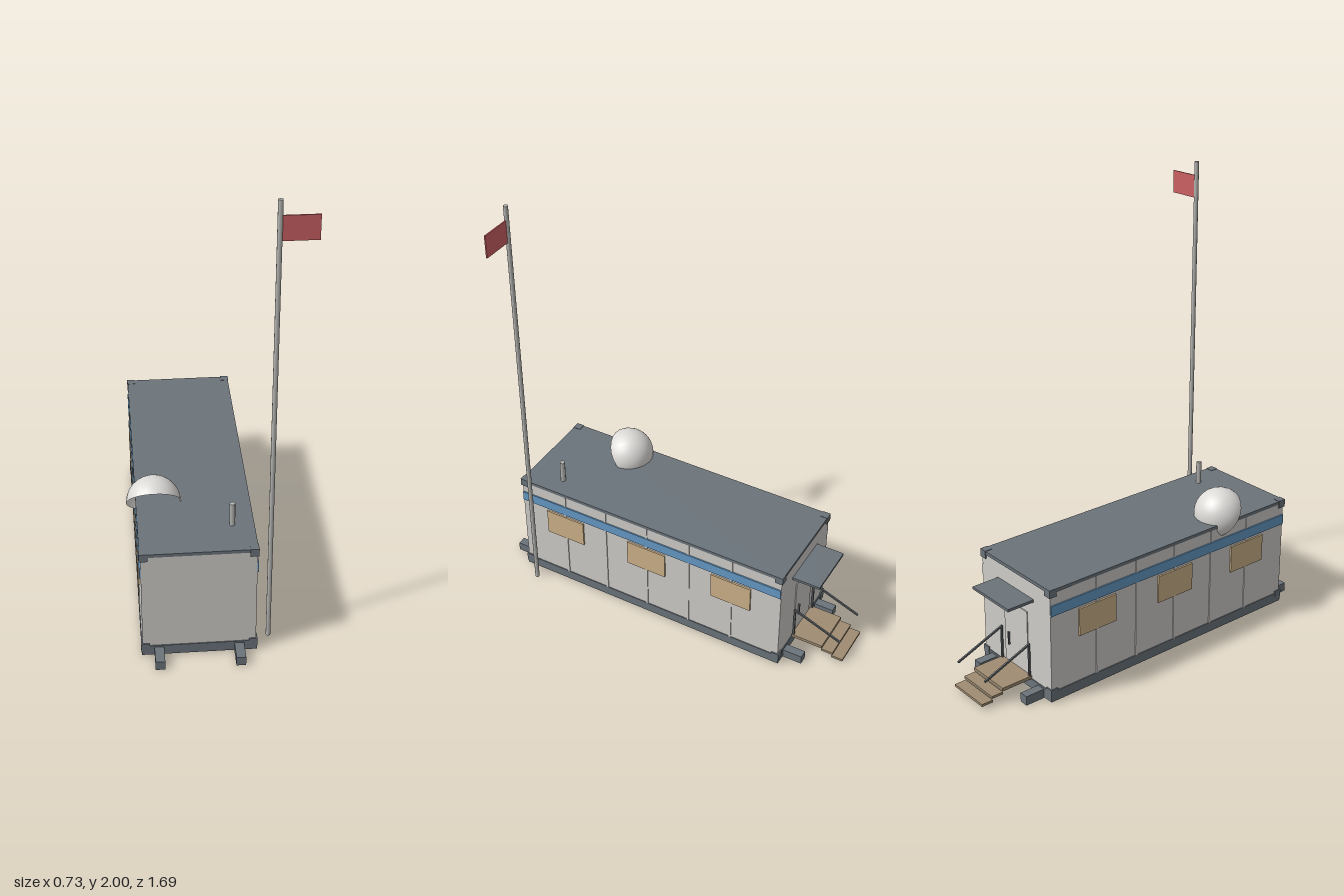
import * as THREE from 'three';

const paint = (name, color) => Object.assign(new THREE.MeshStandardMaterial({ color }), { name });

export function createModel() {
  const model = new THREE.Group();
  model.name = 'siteCabin';

  const wall = paint('wallGrey', 0xcfcdc9);
  const steel = paint('frameSteel', 0x6b747b);
  const blue = paint('stripeBlue', 0x659ac6);
  const tan = paint('windowTan', 0xcdb28a);
  const wood = paint('stepWood', 0x9f8c72);
  const red = paint('flagRed', 0xcb5f63);
  const rail = paint('railGrey', 0x5c6064);
  const pale = paint('poleGrey', 0xb4b4b2);
  const white = paint('dishWhite', 0xdddbd8);
  white.side = THREE.DoubleSide;

  const add = (name, geometry, material, x, y, z) => {
    const mesh = new THREE.Mesh(geometry, material);
    mesh.name = name;
    mesh.position.set(x, y, z);
    model.add(mesh);
    return mesh;
  };
  // Box given by its limits on each axis
  const box = (name, material, [x0, x1], [y0, y1], [z0, z1]) =>
    add(name, new THREE.BoxGeometry(x1 - x0, y1 - y0, z1 - z0), material,
      (x0 + x1) / 2, (y0 + y1) / 2, (z0 + z1) / 2);

  const X0 = -0.325, X1 = 0.155, Z0 = -0.595, Z1 = 0.75;
  const cx = (X0 + X1) / 2, half = (X1 - X0) / 2;

  // Cabin shell
  box('walls', wall, [X0 + 0.004, X1 - 0.004], [0.045, 0.512], [Z0 + 0.004, Z1 - 0.004]);
  box('baseFrame', steel, [X0, X1], [0.004, 0.05], [Z0, Z1]);
  box('roof', steel, [X0, X1], [0.51, 0.525], [Z0, Z1]);

  // Corner blocks
  const c = 0.036, e = 0.002;
  for (const x of [X0 - e, X1 + e - c])
    for (const z of [Z0 - e, Z1 + e - c])
      for (const y of [0.025, 0.491])
        box('cornerBlock', steel, [x, x + c], [y, y + c], [z, z + c]);

  // Skids under the floor
  for (const x of [-0.252, 0.081])
    box('skid', steel, [x - 0.02, x + 0.02], [0, 0.042], [-0.685, 0.84]);

  // Long sides: stripe, wall ribs and windows
  for (const s of [-1, 1]) {
    const face = cx + s * (half - 0.004);
    const plate = (name, mat, depth, y, z) =>
      box(name, mat, s > 0 ? [face, face + depth] : [face - depth, face], y, z);
    plate('stripe', blue, 0.006, [0.405, 0.452], [Z0 + 0.005, Z1 - 0.005]);
    for (let i = 0; i < 5; i++) {
      const z = 0.515 - i * 0.216;
      plate('wallRib', wall, 0.004, [0.05, 0.51], [z - 0.006, z + 0.006]);
      if (i % 2 === 0)
        plate('window', tan, 0.008, [0.265, 0.392], [z - 0.098, z + 0.098]);
    }
  }

  // Rear door with its handle and canopy
  box('door', wall, [-0.165, -0.005], [0.05, 0.36], [Z0, Z0 + 0.005]);
  box('doorHandle', rail, [-0.04, -0.034], [0.15, 0.21], [Z0 - 0.008, Z0]);
  box('canopy', steel, [-0.21, 0.04], [0.424, 0.436], [-0.72, Z0 + 0.005]);

  // Landing and steps
  box('landing', wood, [-0.19, 0.018], [0.052, 0.067], [-0.745, Z0]);
  box('upperStep', wood, [-0.187, 0.015], [0.036, 0.047], [-0.797, -0.742]);
  box('lowerStep', wood, [-0.185, 0.013], [0.017, 0.028], [-0.846, -0.792]);

  // Handrails
  for (const x of [-0.183, 0.011]) {
    box('railPost', rail, [x - 0.004, x + 0.004], [0.06, 0.22], [-0.606, -0.598]);
    const slope = add('handrail', new THREE.BoxGeometry(0.008, 0.008, 0.245), rail, x, 0.173, -0.713);
    slope.rotation.x = -Math.atan2(0.09, 0.225);
  }

  // Roof dish, an open half sphere tipped to the rear
  const dish = add('dish',
    new THREE.SphereGeometry(0.115, 24, 12, 0, Math.PI * 2, 0, Math.PI / 2), white, -0.25, 0.536, 0.413);
  dish.rotation.x = -0.91;

  // Vent, flagpole and flag
  add('ventPipe', new THREE.CylinderGeometry(0.012, 0.012, 0.11, 8), pale, 0.064, 0.575, 0.577);
  add('flagpole', new THREE.CylinderGeometry(0.01, 0.01, 2, 10), pale, 0.213, 1, 0.66);
  box('flag', red, [0.222, 0.361], [1.838, 1.938], [0.657, 0.663]);

  return model;
}
